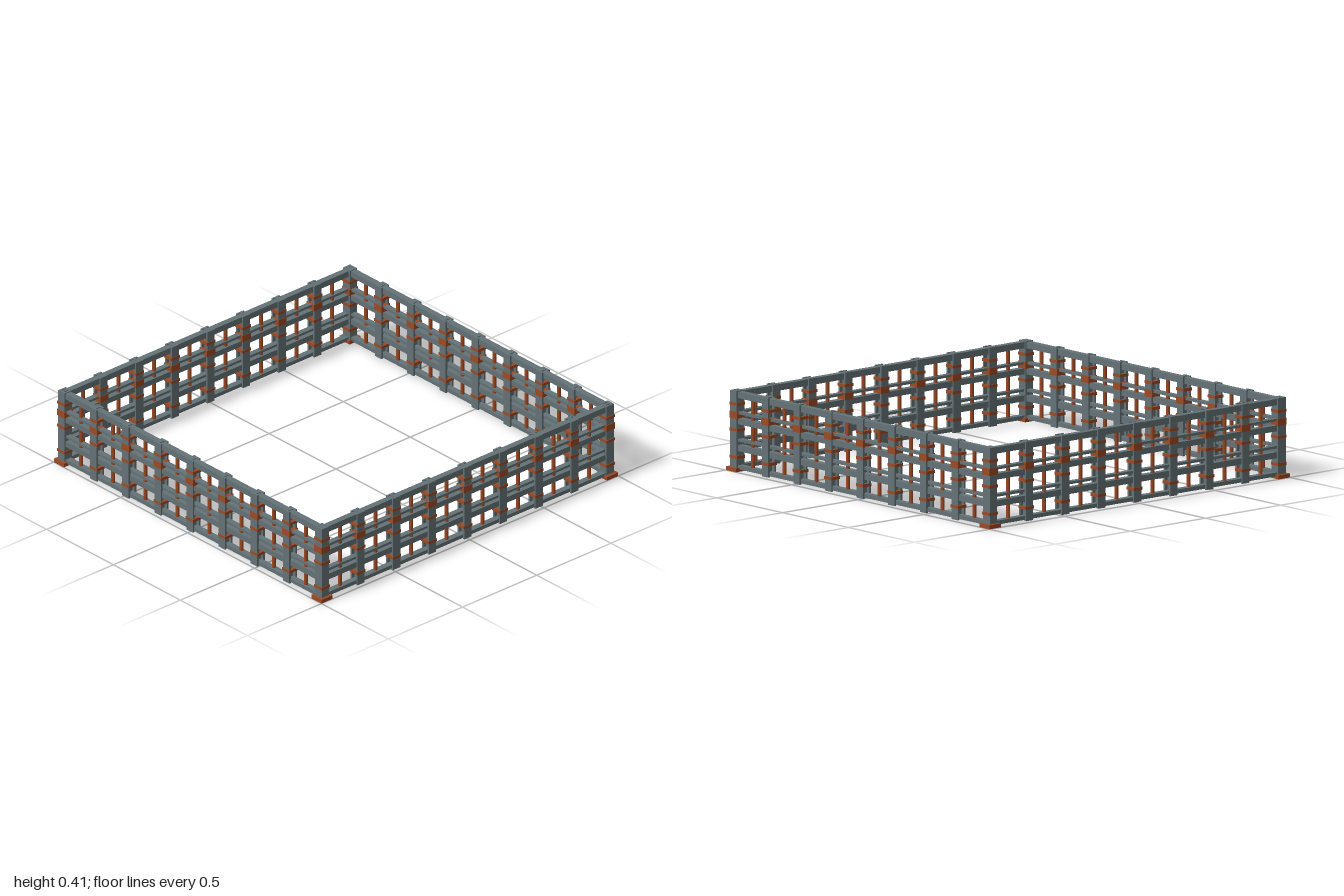
import * as THREE from 'three';

const steel = new THREE.MeshStandardMaterial({ color: 0x647276 });
steel.name = 'blue grey steel';
const rust = new THREE.MeshStandardMaterial({ color: 0x9c4a24 });
rust.name = 'rust';

const EDGE = 0.96;  // distance of each fence line from the centre
const STEP = 0.24;  // post spacing

function box(parent, name, mat, w, h, d, x, y, z) {
  const mesh = new THREE.Mesh(new THREE.BoxGeometry(w, h, d), mat);
  mesh.name = name;
  mesh.position.set(x, y, z);
  parent.add(mesh);
  return mesh;
}

// Upright I-beam with rust clamps around it
function post(name) {
  const g = new THREE.Group();
  g.name = name;
  for (const s of [-1, 1]) {
    box(g, 'postFlange', steel, 0.048, 0.405, 0.011, 0, 0.2075, s * 0.0205);
  }
  box(g, 'postWeb', steel, 0.014, 0.405, 0.034, 0, 0.2075, 0);
  for (const [y, h] of [[0.343, 0.015], [0.287, 0.036], [0.211, 0.015], [0.072, 0.015]]) {
    box(g, 'postClamp', rust, 0.056, h, 0.056, 0, y, 0);
  }
  return g;
}

// One straight fence run along x, with the corner post at its left end
function fenceSide(name) {
  const g = new THREE.Group();
  g.name = name;

  // Horizontal rails: centre height, thickness, depth
  const rails = [
    ['topRail', 0.39, 0.032, 0.034],
    ['upperThinRail', 0.298, 0.013, 0.03],
    ['upperRail', 0.256, 0.03, 0.034],
    ['lowerThinRail', 0.159, 0.013, 0.03],
    ['lowerRail', 0.119, 0.031, 0.034],
    ['bottomRail', 0.021, 0.02, 0.034],
  ];
  for (const [n, y, h, d] of rails) box(g, n, steel, 2 * EDGE, h, d, 0, y, 0);

  for (let i = 0; i < 8; i++) {
    const x = -EDGE + i * STEP;
    const p = post(i === 0 ? 'cornerPost' : 'post');
    p.position.x = x;
    g.add(p);

    // Thin rusty bar midway to the next post
    const bar = new THREE.Mesh(new THREE.CylinderGeometry(0.01, 0.01, 0.36, 8), rust);
    bar.name = 'rustyBar';
    bar.position.set(x + STEP / 2, 0.2, 0);
    g.add(bar);
  }

  // Corner foot plate and side plates closing the corner post
  box(g, 'footPlate', rust, 0.076, 0.02, 0.076, -0.962, 0.01, 0.002);
  for (const s of [-1, 1]) {
    box(g, 'cornerSidePlate', steel, 0.011, 0.405, 0.048, -EDGE + s * 0.0185, 0.2075, 0);
  }
  return g;
}

export function createModel() {
  const model = new THREE.Group();
  model.name = 'fenceEnclosure';
  ['frontSide', 'leftSide', 'backSide', 'rightSide'].forEach((name, i) => {
    const side = fenceSide(name);
    const a = i * Math.PI / 2;
    side.rotation.y = a;
    side.position.set(Math.sin(a) * EDGE, 0, Math.cos(a) * EDGE);
    model.add(side);
  });
  return model;
}
